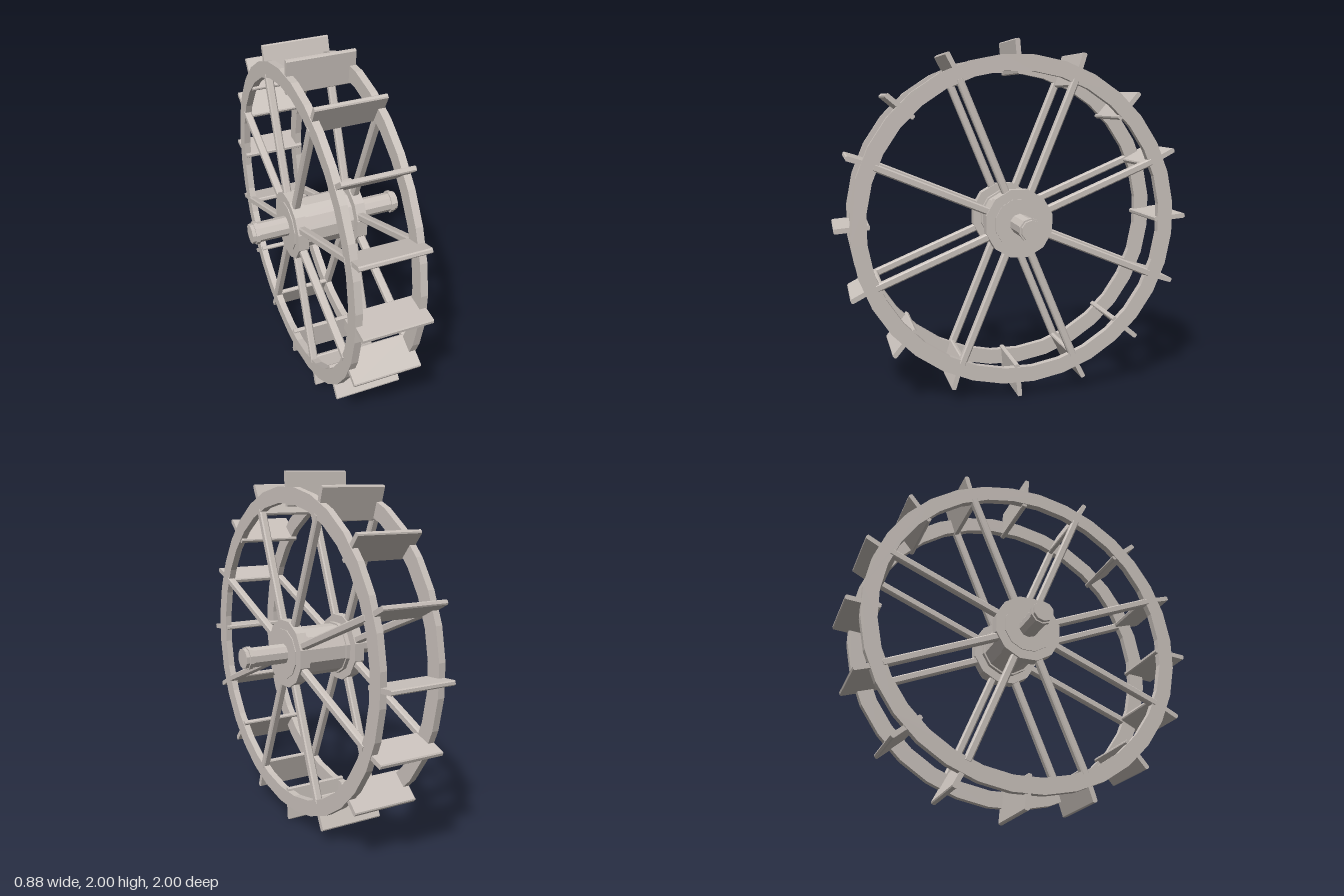
import * as THREE from 'three';

// Regular polygon with flats facing the axes; r is the distance to the flats
function ngon(n, r) {
  const R = r / Math.cos(Math.PI / n);
  const pts = [];
  for (let i = 0; i < n; i++) {
    const a = ((i + 0.5) / n) * Math.PI * 2;
    pts.push(new THREE.Vector2(R * Math.cos(a), R * Math.sin(a)));
  }
  return pts;
}

// Prism along z from z0 to z1, optionally with a hole
function prism(n, r, z0, z1, hole = 0) {
  const shape = new THREE.Shape(ngon(n, r));
  if (hole) shape.holes.push(new THREE.Path(ngon(n, hole)));
  const g = new THREE.ExtrudeGeometry(shape, { depth: z1 - z0, bevelEnabled: false });
  return g.translate(0, 0, z0);
}

// Bar along z with chamfered long edges, w by h in section, centred
function chamferBar(w, h, depth, c) {
  const x = w / 2, y = h / 2;
  const shape = new THREE.Shape([
    [-x + c, -y], [x - c, -y], [x, -y + c], [x, y - c],
    [x - c, y], [-x + c, y], [-x, y - c], [-x, -y + c],
  ].map(([a, b]) => new THREE.Vector2(a, b)));
  const g = new THREE.ExtrudeGeometry(shape, { depth, bevelEnabled: false });
  return g.translate(0, 0, -depth / 2);
}

export function createModel() {
  const stone = new THREE.MeshStandardMaterial({ color: 0xcbc3bd });
  stone.name = 'paleTimber';

  // Wheel is built around the z axis, then turned so the axle lies along x
  const wheel = new THREE.Group();
  wheel.name = 'wheel';
  const add = (name, geometry, parent = wheel) => {
    const m = new THREE.Mesh(geometry, stone);
    m.name = name;
    parent.add(m);
    return m;
  };
  const mid = -0.02;

  // Axle with a raised band near each end
  add('axle', prism(10, 0.054, -0.442, 0.442));
  for (const s of [-1, 1]) {
    add('axleBand', prism(10, 0.062, s * 0.411 - 0.011, s * 0.411 + 0.011));
  }

  // Hub barrel
  add('hubBarrel', prism(12, 0.136, -0.23, 0.19));

  const spokeGeo = chamferBar(0.042, 0.042, 0.73, 0.007);
  spokeGeo.rotateY(Math.PI / 2).translate(0.48, 0, 0);

  for (const s of [-1, 1]) {
    const side = new THREE.Group();
    side.name = s < 0 ? 'rightSide' : 'leftSide';
    wheel.add(side);
    const slab = (name, n, r, a, b, hole) =>
      add(name, prism(n, r, mid + Math.min(s * a, s * b), mid + Math.max(s * a, s * b), hole), side);

    slab('hubBand', 12, 0.145, 0.115, 0.138);
    slab('hubFlange', 12, 0.187, 0.146, 0.205, 0.13);
    slab('rim', 32, 0.914, 0.153, 0.192, 0.826);

    // Eight spokes
    for (let i = 0; i < 8; i++) {
      const spoke = add('spoke', spokeGeo, side);
      spoke.position.z = mid + s * 0.174;
      spoke.rotation.z = ((i + 0.5) * Math.PI) / 4;
    }
  }

  // Sixteen paddles, each leaning slightly off the radius
  const paddleGeo = chamferBar(0.19, 0.027, 0.376, 0.006);
  const lean = THREE.MathUtils.degToRad(5);
  for (let i = 0; i < 16; i++) {
    const a = (i * Math.PI) / 8;
    const paddle = add('paddle', paddleGeo);
    paddle.position.set(0.904 * Math.cos(a), 0.904 * Math.sin(a), mid);
    paddle.rotation.z = a + lean;
  }

  wheel.rotation.y = Math.PI / 2;
  wheel.position.y = 1;
  const model = new THREE.Group();
  model.name = 'waterWheel';
  model.add(wheel);
  return model;
}
